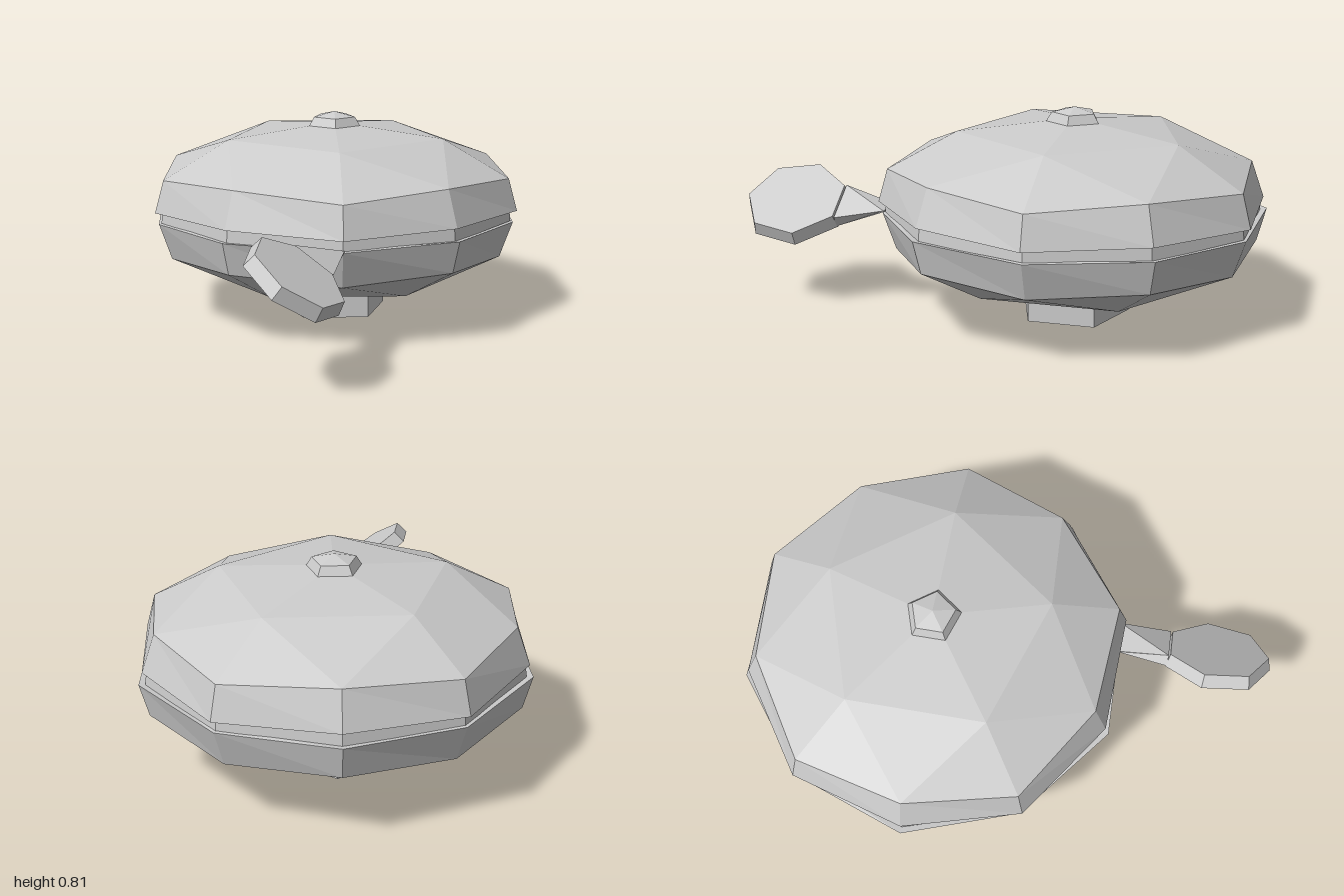
import * as THREE from 'three';

const grey = new THREE.MeshStandardMaterial({ color: 0xcccccc, flatShading: true, side: THREE.DoubleSide });
const CZ = -0.29; // the dish sits behind the ladle

function add(parent, name, geometry, x, y, z) {
  const mesh = new THREE.Mesh(geometry, grey);
  mesh.name = name;
  mesh.position.set(x, y, z);
  parent.add(mesh);
  return mesh;
}

// Faceted half shell: a five-sided crown, a ten-sided shoulder, a rim band and an inward lip
function shellGeometry() {
  const at = (step, r, y) => {
    const a = step * Math.PI / 5;
    return [r * Math.cos(a), y, -r * Math.sin(a)];
  };
  const pole = [0, 0.765, 0];
  const crown = (i) => at(2 * i, 0.445, 0.715);
  const shoulder = (j) => (j % 2 ? at(j, 0.68, 0.595) : at(j, 0.71, 0.57));
  const rim = (j) => (j % 2 ? at(j, 0.73, 0.453) : at(j, 0.745, 0.443));
  const lip = (j) => at(j, 0.70, 0.448);
  const points = [];
  for (let i = 0; i < 5; i++) {
    const a = crown(i), b = crown(i + 1), j = 2 * i;
    points.push(pole, a, b);
    points.push(a, shoulder(j), shoulder(j + 1));
    points.push(a, shoulder(j + 1), b);
    points.push(b, shoulder(j + 1), shoulder(j + 2));
  }
  for (const [upper, lower] of [[shoulder, rim], [rim, lip]]) {
    for (let j = 0; j < 10; j++) {
      points.push(upper(j), lower(j), lower(j + 1));
      points.push(upper(j), lower(j + 1), upper(j + 1));
    }
  }
  const g = new THREE.BufferGeometry();
  g.setAttribute('position', new THREE.Float32BufferAttribute(points.flat(), 3));
  g.computeVertexNormals();
  return g;
}

export function createModel() {
  const model = new THREE.Group();
  model.name = 'coveredDish';

  // Lid, and the bowl as the same shell turned upside down
  add(model, 'lid', shellGeometry(), 0, 0, CZ);
  add(model, 'bowl', shellGeometry().rotateZ(Math.PI), 0, 0.85, CZ);

  // Recessed band between lid and bowl
  add(model, 'rimBand', new THREE.CylinderGeometry(0.715, 0.72, 0.05, 10, 1, true, Math.PI / 2), 0, 0.426, CZ);

  // Five-sided knob with a pointed cap
  const knob = new THREE.Group();
  knob.name = 'knob';
  model.add(knob);
  add(knob, 'knobBase', new THREE.CylinderGeometry(0.086, 0.107, 0.035, 5, 1, true, Math.PI / 2), 0, 0.77, CZ);
  add(knob, 'knobCap', new THREE.ConeGeometry(0.086, 0.02, 5, 1, true, Math.PI / 2), 0, 0.7975, CZ);

  // Hollow five-sided foot
  add(model, 'foot', new THREE.CylinderGeometry(0.22, 0.22, 0.115, 5, 1, true, -Math.PI / 2), 0, 0.0575, CZ);

  // Ladle leaning sideways, its handle twisting flat to slip under the lid
  const ladle = new THREE.Group();
  ladle.name = 'ladle';
  model.add(ladle);
  const tilt = -35 * Math.PI / 180;
  const head = new THREE.CylinderGeometry(0.2, 0.213, 0.055, 7).scale(0.92, 1, 1).rotateZ(tilt);
  add(ladle, 'ladleHead', head, 0.16, 0.395, 0.787);

  const handle = new THREE.BoxGeometry(0.17, 0.05, 0.2);
  const p = handle.attributes.position;
  const v = new THREE.Vector3();
  for (let i = 0; i < p.count; i++) {
    v.fromBufferAttribute(p, i);
    if (v.z > 0) v.applyAxisAngle(new THREE.Vector3(0, 0, 1), tilt);
    else v.set(v.x * 0.7 + 0.01, v.y * 0.1 + 0.008, v.z);
    p.setXYZ(i, v.x, v.y, v.z);
  }
  handle.computeVertexNormals();
  add(ladle, 'ladleHandle', handle, 0.16, 0.395, 0.5);

  return model;
}
